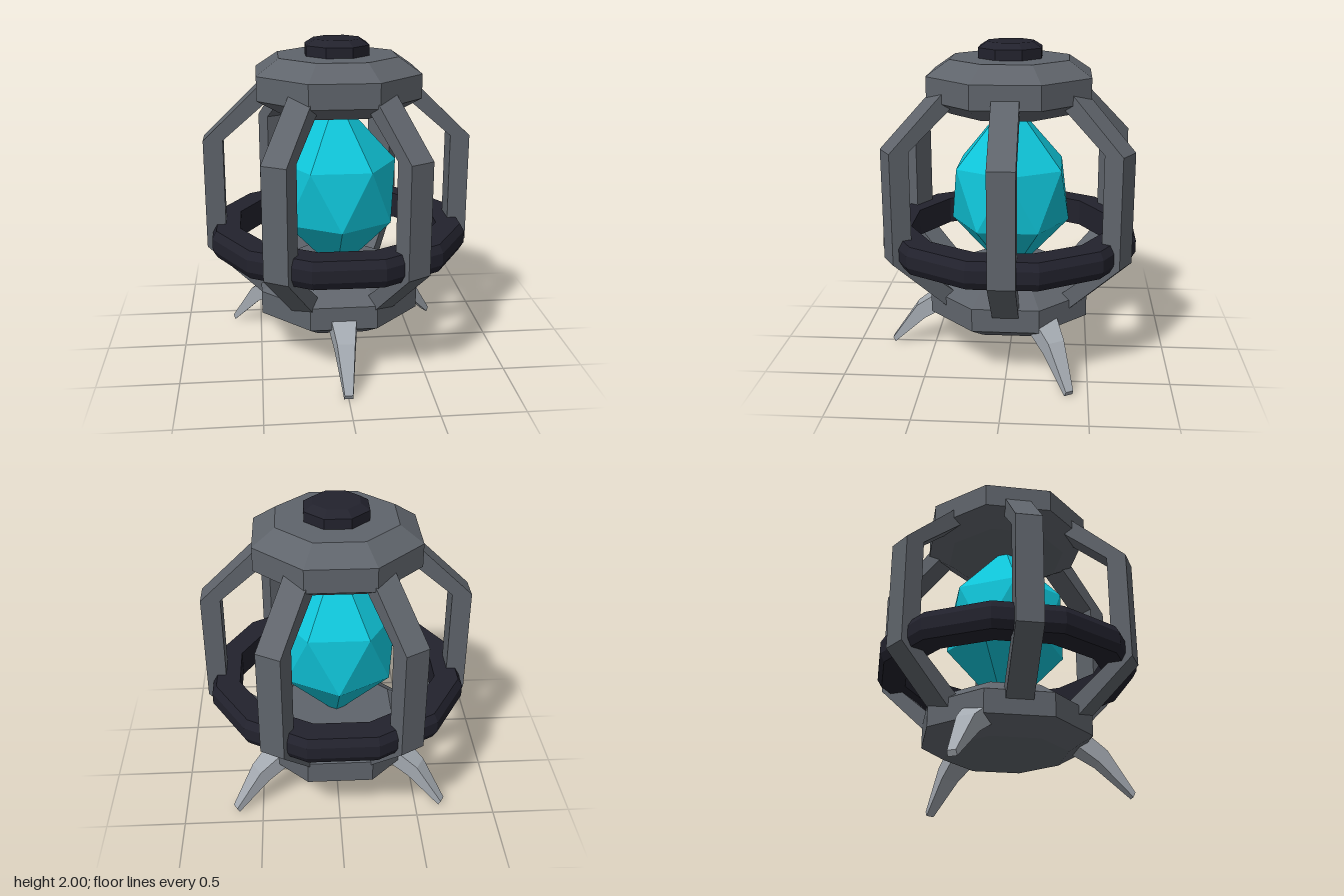
import * as THREE from 'three';
import { ConvexGeometry } from 'three/addons/geometries/ConvexGeometry.js';

const makeMaterial = (name, color) => {
  const m = new THREE.MeshStandardMaterial({ color });
  m.name = name;
  return m;
};

// Faceted normals for every part
function faceted(geometry) {
  const g = geometry.index ? geometry.toNonIndexed() : geometry;
  g.computeVertexNormals();
  return g;
}

const toPoints = (list) => list.map(([x, y]) => new THREE.Vector2(x, y));

// Turned solid with few sides and flats facing the axes; radii are measured to the flats
function turned(profile, sides) {
  const k = 1 / Math.cos(Math.PI / sides);
  const pts = toPoints(profile.map(([r, y]) => [r * k, y]));
  return faceted(new THREE.LatheGeometry(pts, sides, Math.PI / sides));
}

// Outline in (radius, height), extruded sideways about z = 0 with a half width set by radius
function slab(outline, halfWidth) {
  const g = new THREE.ExtrudeGeometry(new THREE.Shape(toPoints(outline)), { depth: 2, bevelEnabled: false });
  g.translate(0, 0, -1);
  const p = g.attributes.position;
  for (let i = 0; i < p.count; i++) p.setZ(i, p.getZ(i) * halfWidth(p.getX(i)));
  return faceted(g);
}

export function createModel() {
  const model = new THREE.Group();
  const steel = makeMaterial('steel grey', 0x5f646b);
  const dark = makeMaterial('dark navy', 0x22222d);
  const cyan = makeMaterial('crystal cyan', 0x0fc4d8);
  const silver = makeMaterial('light silver', 0xa3a9b0);

  const add = (name, geometry, material, parent = model) => {
    const mesh = new THREE.Mesh(geometry, material);
    mesh.name = name;
    parent.add(mesh);
    return mesh;
  };
  const addAround = (name, geometry, material, count, start) => {
    const group = new THREE.Group();
    group.name = name + 's';
    model.add(group);
    for (let i = 0; i < count; i++) {
      add(name + (i + 1), geometry, material, group).rotation.y = start + (i * 2 * Math.PI) / count;
    }
  };

  // Upper and lower octagonal caps
  const cap = turned([[0, 0], [0.355, 0], [0.49, 0.085], [0.49, 0.23], [0.355, 0.325], [0, 0.325]], 8);
  add('baseCap', cap, steel).position.y = 0.225;
  add('topCap', cap, steel).position.y = 1.578;

  // Knob on top
  add('topKnob', turned([[0, 1.88], [0.19, 1.88], [0.19, 1.965], [0.137, 2], [0, 2]], 8), dark);

  // Twelve-sided ring with chamfered outer edges
  add('ring', turned([
    [0.61, 0.695], [0.755, 0.695], [0.782, 0.743], [0.782, 0.817],
    [0.755, 0.865], [0.61, 0.865], [0.61, 0.695],
  ], 12), dark);

  // Six bent cage bars
  const bar = slab([
    [0.40, 0.46], [0.42, 0.335], [0.82, 0.72], [0.82, 1.40],
    [0.42, 1.785], [0.40, 1.66], [0.70, 1.40], [0.70, 0.72],
  ], () => 0.08);
  addAround('cageBar', bar, steel, 6, 0);

  // Three tapered, kneed legs
  const leg = slab([
    [0.40, 0.295], [0.56, 0.195], [0.77, 0], [0.785, 0.03], [0.615, 0.275], [0.49, 0.365], [0.40, 0.38],
  ], (r) => 0.075 - (r - 0.49) * 0.17);
  addAround('leg', leg, silver, 3, -Math.PI / 2);

  // Crystal: two staggered hexagons between two points
  const points = [new THREE.Vector3(0, 0.49, 0), new THREE.Vector3(0, 1.65, 0)];
  for (let i = 0; i < 6; i++) {
    const a = (i * Math.PI) / 3;
    const b = a + Math.PI / 6;
    points.push(new THREE.Vector3(0.37 * Math.sin(a), 0.88, 0.37 * Math.cos(a)));
    points.push(new THREE.Vector3(0.37 * Math.sin(b), 1.24, 0.37 * Math.cos(b)));
  }
  add('crystal', new ConvexGeometry(points), cyan);

  return model;
}
